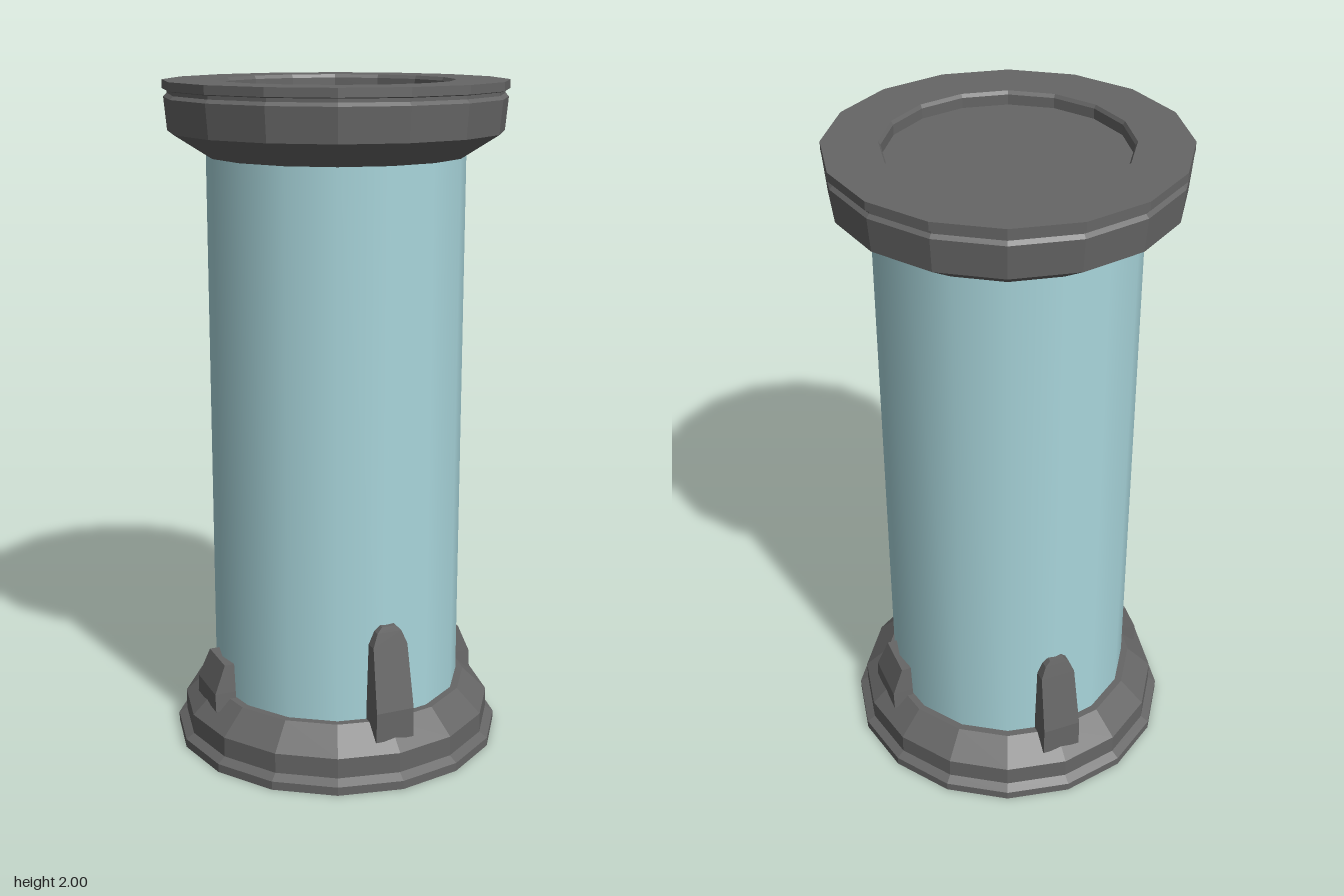
import * as THREE from 'three';

const SIDES = 16;

// Turned part from [radius, height] pairs, listed from bottom to top
function turned(name, profile, material) {
  const points = profile.map(([r, y]) => new THREE.Vector2(r, y));
  const mesh = new THREE.Mesh(new THREE.LatheGeometry(points, SIDES), material);
  mesh.name = name;
  return mesh;
}

// Tapered clamp facing +z; rows are [height, half width, outer depth]
function clamp(name, rows, inner, angle, material) {
  const n = rows.length - 1;
  const geometry = new THREE.BoxGeometry(2, 1, 1, 1, n, 1);
  const pos = geometry.attributes.position;
  for (let i = 0; i < pos.count; i++) {
    const [y, half, outer] = rows[Math.round((pos.getY(i) + 0.5) * n)];
    pos.setXYZ(i, pos.getX(i) * half, y, pos.getZ(i) > 0 ? outer : inner);
  }
  geometry.computeVertexNormals();
  const mesh = new THREE.Mesh(geometry, material);
  mesh.name = name;
  mesh.rotation.y = angle;
  return mesh;
}

export function createModel() {
  const group = new THREE.Group();
  group.name = 'canister';

  const metal = new THREE.MeshStandardMaterial({ color: 0x666666, flatShading: true });
  metal.name = 'dark grey metal';
  const glass = new THREE.MeshStandardMaterial({ color: 0xa9d6dc });
  glass.name = 'pale blue glass';

  // Stepped foot with a sloping shoulder
  group.add(turned('base', [
    [0, 0], [0.5, 0], [0.5, 0.026], [0.475, 0.042],
    [0.475, 0.103], [0.4, 0.175], [0.36, 0.175],
  ], metal));

  // Smooth glass tube
  group.add(turned('tube', [[0.378, 0.15], [0.378, 1.81]], glass));

  // Lid with a groove under its rim and a recessed top
  group.add(turned('lid', [
    [0.36, 1.787], [0.378, 1.787], [0.488, 1.856], [0.497, 1.952],
    [0.487, 1.962], [0.487, 1.972], [0.5, 1.975], [0.5, 2],
    [0.345, 2], [0.339, 1.99], [0.339, 1.96], [0, 1.96],
  ], metal));

  // Tall clamps at front and back, short ones at the sides
  const tall = [[0.13, 0.06, 0.44], [0.22, 0.059, 0.44], [0.41, 0.054, 0.402],
    [0.45, 0.038, 0.394], [0.467, 0.022, 0.39]];
  const short = [[0.14, 0.085, 0.43], [0.195, 0.08, 0.43], [0.28, 0.07, 0.395]];
  for (const [side, angle] of [['front', 0], ['back', Math.PI]]) {
    group.add(clamp(side + 'Clamp', tall, 0.365, angle, metal));
  }
  for (const [side, angle] of [['left', Math.PI / 2], ['right', -Math.PI / 2]]) {
    group.add(clamp(side + 'Clamp', short, 0.365, angle, metal));
  }
  return group;
}
